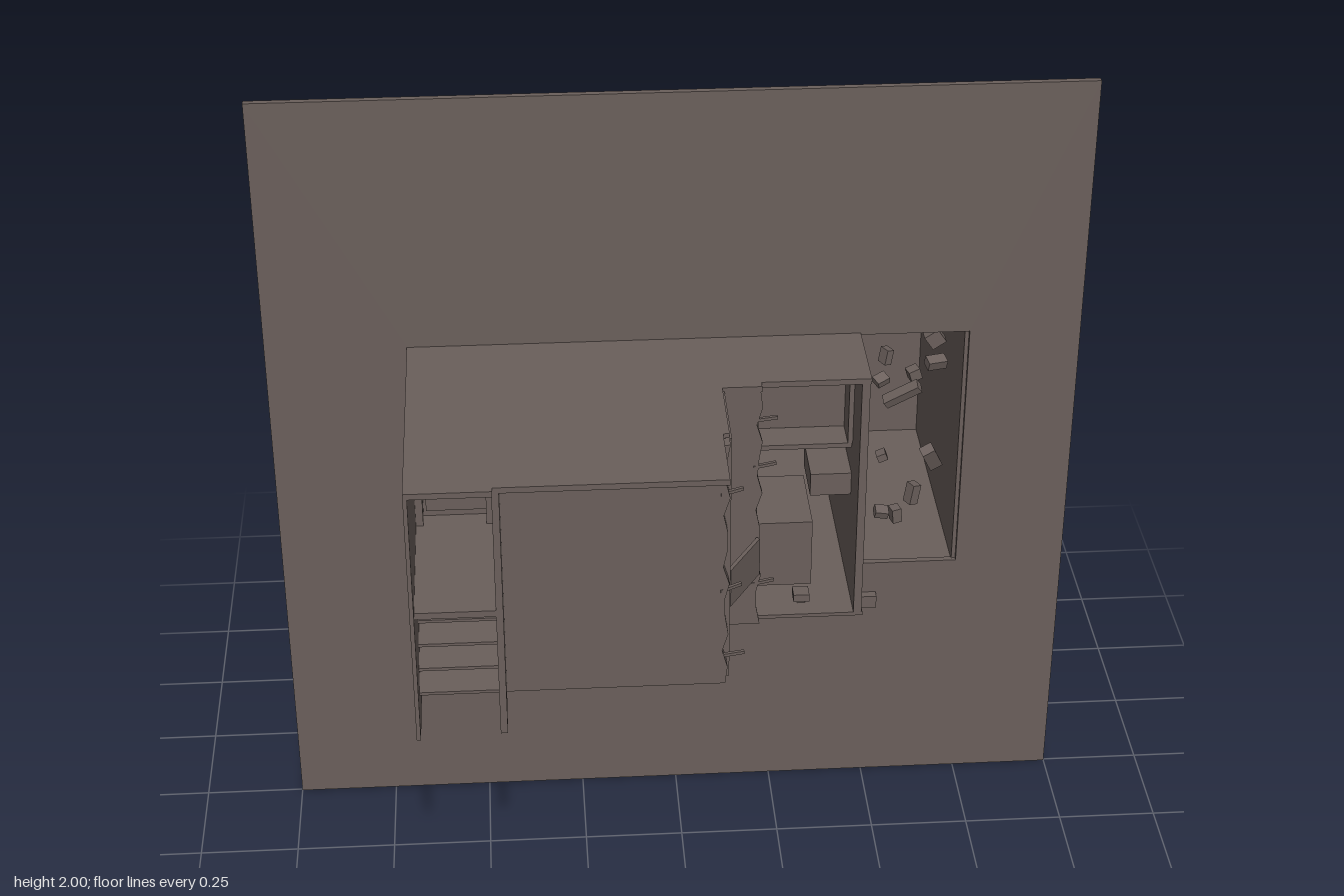
import * as THREE from 'three';

export function createModel() {
  const model = new THREE.Group();
  const stone = new THREE.MeshStandardMaterial({ color: 0x6a5f5b });
  stone.name = 'warm grey';

  // Box given by its limits on each axis
  function box(name, x0, x1, y0, y1, z0, z1, parent = model) {
    const mesh = new THREE.Mesh(new THREE.BoxGeometry(x1 - x0, y1 - y0, z1 - z0), stone);
    mesh.position.set((x0 + x1) / 2, (y0 + y1) / 2, (z0 + z1) / 2);
    mesh.name = name;
    parent.add(mesh);
    return mesh;
  }
  // Prism standing on a plan outline of [x, z] points
  function slab(name, points, y0, y1) {
    const shape = new THREE.Shape(points.map(([x, z]) => new THREE.Vector2(x, -z)));
    const geo = new THREE.ExtrudeGeometry(shape, { depth: y1 - y0, bevelEnabled: false });
    geo.rotateX(-Math.PI / 2);
    const mesh = new THREE.Mesh(geo, stone);
    mesh.position.y = y0;
    mesh.name = name;
    model.add(mesh);
  }
  // Upright panel whose right edge is broken into teeth
  function brokenPanel(name, x0, x1, z0, z1, phase) {
    const shape = new THREE.Shape();
    shape.moveTo(x0, 0.66);
    const n = 14;
    for (let i = 0; i <= n; i++) {
      shape.lineTo(x1 + 0.008 * Math.sin(i * 2.4 + phase), 0.66 + 0.675 * i / n);
    }
    shape.lineTo(x0, 1.335);
    const geo = new THREE.ExtrudeGeometry(shape, { depth: z1 - z0, bevelEnabled: false });
    const mesh = new THREE.Mesh(geo, stone);
    mesh.position.z = z0;
    mesh.name = name;
    model.add(mesh);
  }

  // Large wall with the opening for the rooms
  const wall = new THREE.Shape([[-1, 0], [1, 0], [1, 2], [-1, 2]].map(p => new THREE.Vector2(...p)));
  wall.holes.push(new THREE.Path(
    [[-0.65, 0.665], [-0.65, 1.34], [0.725, 1.34], [0.725, 0.665]].map(p => new THREE.Vector2(...p))));
  const wallMesh = new THREE.Mesh(
    new THREE.ExtrudeGeometry(wall, { depth: 0.016, bevelEnabled: false }), stone);
  wallMesh.position.z = -0.011;
  wallMesh.name = 'facadeWall';
  model.add(wallMesh);

  // Back plate and end bay, a little taller than the rooms
  box('backPlate', -0.655, 0.73, 0.635, 1.37, -0.68, -0.66);
  box('endBayRoof', 0.455, 0.73, 1.345, 1.37, -0.66, -0.01);
  box('endBayFloor', 0.455, 0.73, 0.635, 0.66, -0.66, -0.01);
  box('endBayWall', 0.715, 0.73, 0.66, 1.345, -0.66, -0.005);

  // Stepped roof and floor
  slab('roof', [[-0.655, -0.66], [0.455, -0.66], [0.455, 0.23], [0.19, 0.23], [0.19, 0.25],
    [0.095, 0.25], [0.095, 0.46], [0.08, 0.46], [0.08, 0.66], [-0.455, 0.66],
    [-0.455, 0.675], [-0.655, 0.675]], 1.33, 1.345);
  slab('floor', [[-0.655, -0.66], [0.455, -0.66], [0.455, 0.23], [0.19, 0.23], [0.19, 0.25],
    [0.095, 0.25], [0.095, 0.46], [-0.655, 0.46]], 0.66, 0.67);

  // Upright walls
  box('outerSideWall', -0.655, -0.645, 0.66, 1.345, -0.66, 0.675);
  box('closetWall', -0.457, -0.44, 0.66, 1.335, -0.02, 0.66);
  box('stepWall', 0.085, 0.1, 0.66, 1.335, 0.24, 0.465);
  box('roomDivider', 0.432, 0.452, 0.66, 1.335, -0.66, 0.23);
  box('roomSideWall', 0.17, 0.185, 0.66, 1.335, -0.66, 0.23);
  brokenPanel('mainPanel', -0.45, 0.088, 0.465, 0.495, 0);
  brokenPanel('narrowPanel', 0.09, 0.187, 0.232, 0.25, 1);

  // Closet with a shelf, a framed panel and steps
  box('closetBack', -0.65, -0.45, 0.665, 1.335, 0.23, 0.245);
  box('closetShelf', -0.65, -0.45, 0.995, 1.012, 0.24, 0.66);
  box('closetPanel', -0.62, -0.47, 1.035, 1.3, 0.24, 0.26);
  for (const x of [-0.645, -0.475]) box('closetFrame', x, x + 0.018, 1.012, 1.32, 0.24, 0.29);
  box('closetFrameTop', -0.645, -0.457, 1.315, 1.33, 0.24, 0.29);
  for (let i = 0; i < 6; i++) {
    const y = 0.75 + i * 0.034;
    box('closetStep', -0.645, -0.457, y, y + 0.008, 0.24, 0.62 - i * 0.05);
  }
  box('closetCabinet', -0.55, -0.457, 0.75, 0.925, 0.25, 0.4);

  // Room furniture
  box('roomCabinet', 0.2, 0.43, 1.09, 1.31, -0.15, 0.02);
  box('cabinetShelf', 0.19, 0.43, 1.075, 1.088, -0.15, 0.1);
  box('cabinetSide', 0.42, 0.432, 1.088, 1.32, -0.15, 0.1);
  box('roomDesk', 0.19, 0.33, 0.72, 0.905, -0.05, 0.17);
  box('wallBox', 0.33, 0.432, 0.938, 1.0, -0.05, 0.1);
  box('stoolSeat', 0.285, 0.325, 0.68, 0.7, 0.15, 0.19);
  box('stoolLeg', 0.295, 0.315, 0.65, 0.68, 0.16, 0.18);

  // Hinged flap and splinters at the broken edges
  const flap = box('hingedFlap', -0.08, 0.08, 0.815, 0.92, -0.005, 0.005);
  flap.position.set(0.145, 0.868, 0.325);
  flap.rotation.y = Math.atan2(0.14, 0.085);
  for (const [x, y, z, a] of [[0.1, 0.93, 0.48, 0.5], [0.105, 0.74, 0.485, 0.2],
    [0.1, 1.2, 0.48, 0.4], [0.2, 1.12, 0.24, 0.3], [0.2, 0.78, 0.24, 0.3], [0.2, 1.25, 0.24, 0.2]]) {
    const s = box('splinter', -0.03, 0.03, 0, 0.008, -0.004, 0.004);
    s.position.set(x, y, z);
    s.rotation.y = a;
  }

  // Ledge on the facade
  box('ledge', 0.39, 0.52, 0.54, 0.575, 0, 0.027);

  // Loose blocks floating in the end bay: x, y, width, height, tilt
  const blocks = [[0.65, 1.29, 0.04, 0.04, 0.6], [0.665, 1.19, 0.05, 0.025, -0.1],
    [0.545, 1.185, 0.02, 0.04, -0.2], [0.575, 1.13, 0.1, 0.022, 0.6], [0.61, 1.16, 0.03, 0.03, 0.3],
    [0.535, 1.115, 0.035, 0.018, 0.1], [0.53, 0.95, 0.025, 0.02, 0.4], [0.665, 0.91, 0.035, 0.07, 0.4],
    [0.63, 0.77, 0.025, 0.055, -0.2], [0.535, 0.78, 0.035, 0.02, -0.2], [0.58, 0.74, 0.025, 0.04, 0.1]];
  blocks.forEach(([x, y, w, h, tilt], i) => {
    const b = box('looseBlock', -w / 2, w / 2, -h / 2, h / 2, -0.015, 0.015);
    b.position.set(x, y, -0.06 - 0.05 * (i % 3));
    b.rotation.set(0.3 * (i % 2), 0.25 * (i % 3), tilt);
  });

  return model;
}
